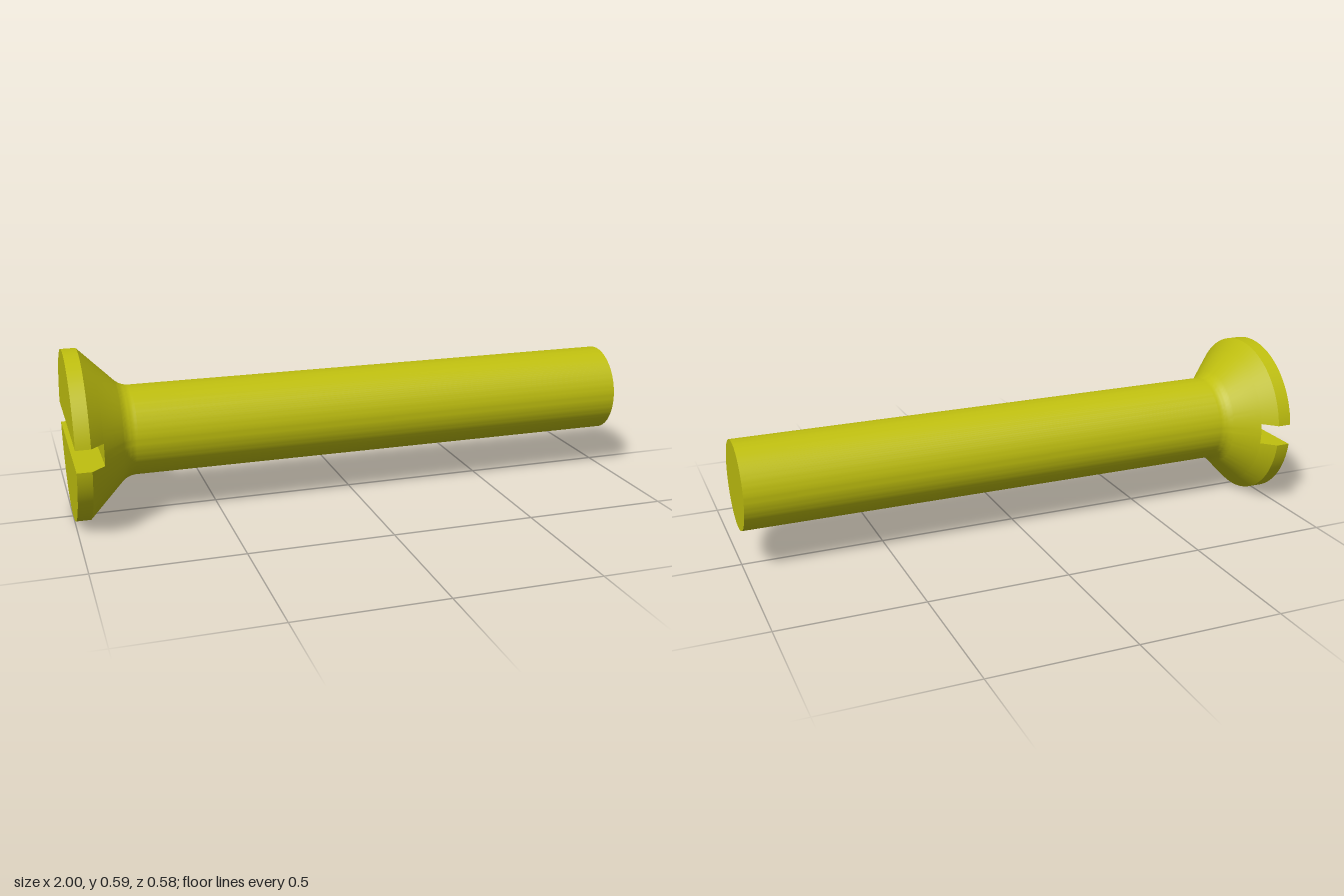
import * as THREE from 'three';
import { toCreasedNormals } from 'three/addons/utils/BufferGeometryUtils.js';

const HEAD_R = 0.293, SHAFT_R = 0.155;
const FACE_X = -1, RIM_X = -0.95, SLOT_X = -0.905, TIP_X = 1;
const SLOT_HALF = 0.038;
const CREASE = 0.4;

// 45 degree countersink
const coneRadius = (x) => HEAD_R - (x - RIM_X);

// Half of the slotted head: circle segments above the slot, lofted along x
function headHalfGeometry() {
  const n = 64, ring = n + 1;
  const stations = [[FACE_X, HEAD_R], [RIM_X, HEAD_R], [SLOT_X, coneRadius(SLOT_X)]];
  const positions = [], index = [];
  for (const [x, r] of stations) {
    const a = Math.asin(SLOT_HALF / r);
    for (let j = 0; j <= n; j++) {
      const t = a + (Math.PI - 2 * a) * j / n;
      positions.push(x, r * Math.sin(t), r * Math.cos(t));
    }
  }
  // Sides; the closing quad of each ring is the slot wall
  for (let i = 0; i < stations.length - 1; i++) {
    for (let j = 0; j < ring; j++) {
      const k = (j + 1) % ring;
      const a = i * ring + j, b = a + ring, c = (i + 1) * ring + k, d = i * ring + k;
      index.push(a, b, c, a, c, d);
    }
  }
  // Flat face
  for (let j = 1; j < n; j++) index.push(0, j, j + 1);
  const geo = new THREE.BufferGeometry();
  geo.setAttribute('position', new THREE.Float32BufferAttribute(positions, 3));
  geo.setIndex(index);
  return toCreasedNormals(geo, CREASE);
}

// Bottom of the slot, with its ends following the cone
function slotFloorGeometry() {
  const r = coneRadius(SLOT_X), a = Math.asin(SLOT_HALF / r);
  const shape = new THREE.Shape();
  shape.absarc(0, 0, r, -a, a);
  shape.absarc(0, 0, r, Math.PI - a, Math.PI + a);
  return new THREE.ShapeGeometry(shape, 12).rotateY(-Math.PI / 2).translate(SLOT_X, 0, 0);
}

// Lower cone, fillet, shaft and flat tip turned in one profile
function shankGeometry() {
  const cornerX = RIM_X + HEAD_R - SHAFT_R, t = 0.03;
  const startX = cornerX - t * Math.SQRT1_2;
  const filletR = t / Math.tan(Math.PI / 8);
  const endX = cornerX + t;
  const profile = [new THREE.Vector2(coneRadius(SLOT_X), SLOT_X), new THREE.Vector2(coneRadius(startX), startX)];
  for (let i = 1; i <= 8; i++) {
    const a = Math.PI / 4 * (1 - i / 8);
    profile.push(new THREE.Vector2(SHAFT_R + filletR * (1 - Math.cos(a)), endX - filletR * Math.sin(a)));
  }
  profile.push(new THREE.Vector2(SHAFT_R, TIP_X), new THREE.Vector2(0, TIP_X));
  return toCreasedNormals(new THREE.LatheGeometry(profile, 128), CREASE).rotateZ(-Math.PI / 2);
}

export function createModel() {
  const group = new THREE.Group();
  group.name = 'countersunkScrew';
  const material = new THREE.MeshStandardMaterial({ color: 0xbfbf0f });
  const add = (name, geometry) => {
    const mesh = new THREE.Mesh(geometry, material);
    mesh.name = name;
    mesh.position.y = HEAD_R;
    group.add(mesh);
    return mesh;
  };

  const half = headHalfGeometry();
  add('upperHeadHalf', half);
  add('lowerHeadHalf', half).rotation.x = Math.PI;
  add('slotFloor', slotFloorGeometry());
  add('shank', shankGeometry());
  return group;
}
